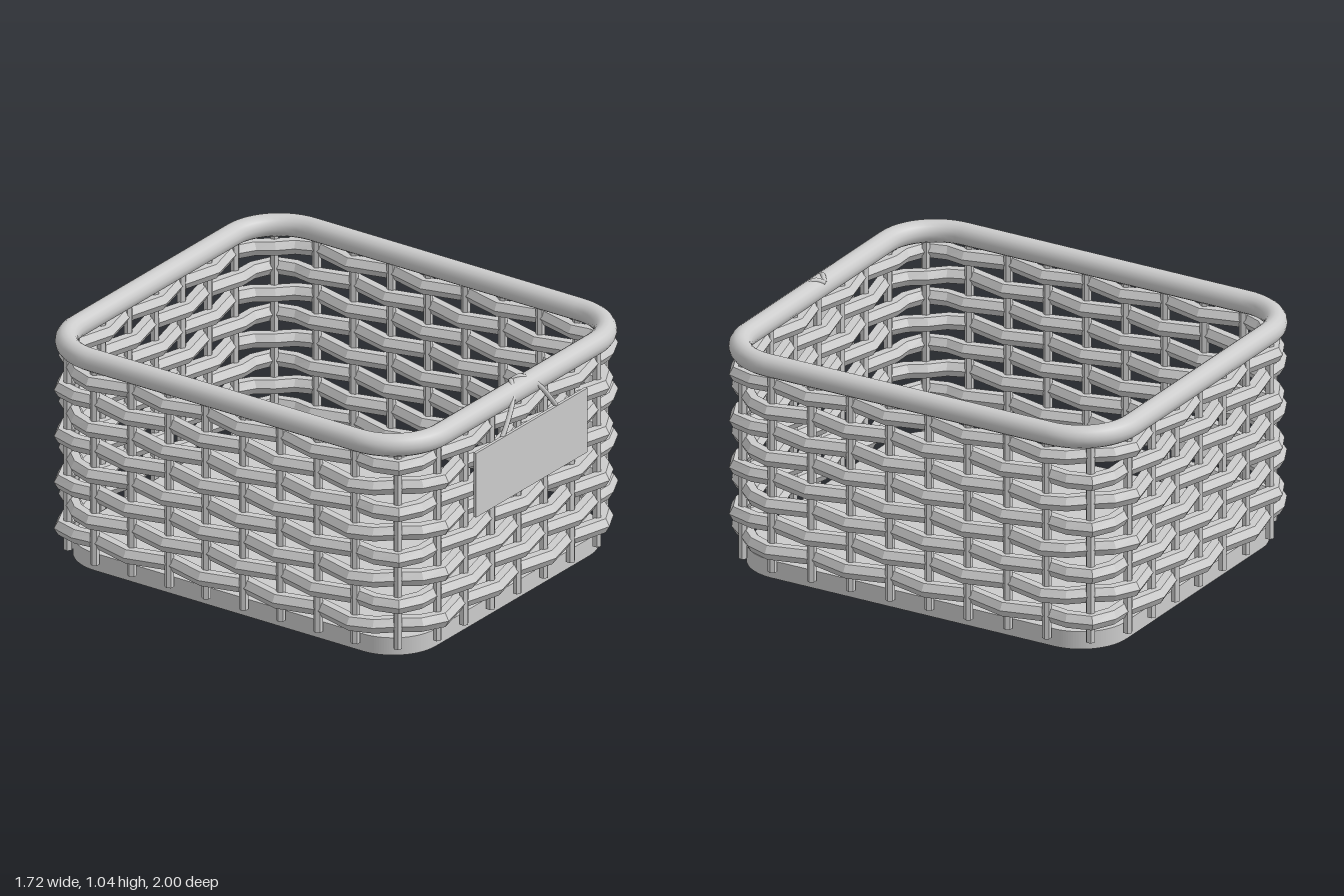
import * as THREE from 'three';

const HALF_X = 0.797, HALF_Z = 0.93, CORNER = 0.24, CENTRE_Z = -0.01;
const STAKES = 34, ROWS = 8;
const LX = HALF_X - CORNER, LZ = HALF_Z - CORNER, ARC = CORNER * Math.PI / 2;
const PERIMETER = 4 * (LX + LZ) + 4 * ARC;

// point and outward normal on the rounded rectangle, u = 0 at the front middle, heading to +x
function outline(u) {
  let s = (((u % 1) + 1) % 1) * PERIMETER;
  const corners = [[1, 1], [1, -1], [-1, -1], [-1, 1]];
  const runs = [LX, 2 * LZ, 2 * LX, 2 * LZ, LX];
  for (let k = 0; k < 5; k++) {
    const a = Math.PI / 2 - k * Math.PI / 2; // facing angle of this side
    const n = new THREE.Vector3(Math.cos(a), 0, Math.sin(a));
    const dir = new THREE.Vector3(Math.sin(a), 0, -Math.cos(a));
    if (s <= runs[k] || k === 4) {
      const along = k === 0 ? s : s - runs[k === 4 ? 2 : k] / 2;
      const depth = k % 2 ? HALF_X : HALF_Z;
      const p = n.clone().multiplyScalar(depth).addScaledVector(dir, along);
      p.z += CENTRE_Z;
      return { p, n };
    }
    s -= runs[k];
    if (s <= ARC) {
      const b = a - s / CORNER;
      const m = new THREE.Vector3(Math.cos(b), 0, Math.sin(b));
      const [cx, cz] = corners[k];
      const p = new THREE.Vector3(cx * LX, 0, cz * LZ + CENTRE_Z).addScaledVector(m, CORNER);
      return { p, n: m };
    }
    s -= ARC;
  }
}

class RimCurve extends THREE.Curve {
  getPoint(t, target = new THREE.Vector3()) {
    return target.copy(outline(t).p);
  }
}

// six-sided strand weaving in and out of the stakes
function strandGeometry(phase) {
  const count = STAKES * 2, sides = 6, radius = 0.037, sway = 0.025;
  const pos = [], index = [];
  for (let i = 0; i < count; i++) {
    const { p, n } = outline(i / count);
    const off = sway * phase * Math.cos(i * Math.PI / 2);
    for (let j = 0; j < sides; j++) {
      const a = j / sides * Math.PI * 2;
      const r = off + radius * Math.cos(a);
      pos.push(p.x + n.x * r, radius * Math.sin(a), p.z + n.z * r);
      const i2 = (i + 1) % count, j2 = (j + 1) % sides;
      const A = i * sides + j, B = i2 * sides + j, C = i2 * sides + j2, D = i * sides + j2;
      index.push(A, B, C, A, C, D);
    }
  }
  const g = new THREE.BufferGeometry();
  g.setAttribute('position', new THREE.Float32BufferAttribute(pos, 3));
  g.setIndex(index);
  const flat = g.toNonIndexed();
  flat.computeVertexNormals();
  return flat;
}

function roundedRect(x, z, r) {
  const s = new THREE.Shape();
  s.moveTo(-x + r, -z);
  s.lineTo(x - r, -z);
  s.absarc(x - r, -z + r, r, -Math.PI / 2, 0);
  s.absarc(x - r, z - r, r, 0, Math.PI / 2);
  s.absarc(-x + r, z - r, r, Math.PI / 2, Math.PI);
  s.absarc(-x + r, -z + r, r, Math.PI, Math.PI * 1.5);
  return s;
}

export function createModel() {
  const group = new THREE.Group();
  group.name = 'basket';
  const wicker = new THREE.MeshStandardMaterial({ color: 0xcccccc });
  wicker.name = 'light grey';
  const add = (name, geometry, parent = group) => {
    const mesh = new THREE.Mesh(geometry, wicker);
    mesh.name = name;
    parent.add(mesh);
    return mesh;
  };

  // solid floor
  const floor = new THREE.ExtrudeGeometry(roundedRect(0.77, 0.907, 0.22),
    { depth: 0.08, bevelEnabled: false, curveSegments: 16 });
  floor.rotateX(-Math.PI / 2);
  add('base', floor).position.z = CENTRE_Z;

  // upright stakes
  const stakes = new THREE.Group();
  stakes.name = 'stakes';
  group.add(stakes);
  const stakeGeometry = new THREE.CylinderGeometry(0.02, 0.02, 0.93, 6).toNonIndexed();
  stakeGeometry.computeVertexNormals();
  for (let i = 0; i < STAKES; i++) {
    const { p, n } = outline(i / STAKES);
    const stake = add('stake', stakeGeometry, stakes);
    stake.position.set(p.x, 0.51, p.z);
    stake.rotation.y = Math.atan2(n.x, n.z);
  }

  // woven rows, alternating in and out
  const weave = new THREE.Group();
  weave.name = 'weave';
  group.add(weave);
  const strands = [strandGeometry(-1), strandGeometry(1)];
  for (let i = 0; i < ROWS; i++) {
    add('strand', strands[i % 2], weave).position.y = 0.147 + 0.106 * i;
  }

  // thick rim
  add('rim', new THREE.TubeGeometry(new RimCurve(), 200, 0.049, 16, true)).position.y = 0.98;

  // hanging tag and its cord
  const tag = new THREE.BoxGeometry(0.8, 0.295, 0.014);
  add('tag', tag).position.set(0, 0.708, 0.988);
  for (const side of [-1, 1]) {
    const cord = new THREE.CatmullRomCurve3([
      [0.2, 0.84, 0.982], [0.15, 0.905, 0.979], [0.095, 0.975, 0.965],
      [0.06, 1.012, 0.938], [0.03, 1.027, 0.91], [0, 1.01, 0.885],
    ].map(([x, y, z]) => new THREE.Vector3(side * x, y, z)));
    add('cord', new THREE.TubeGeometry(cord, 24, 0.011, 8));
  }
  return group;
}
